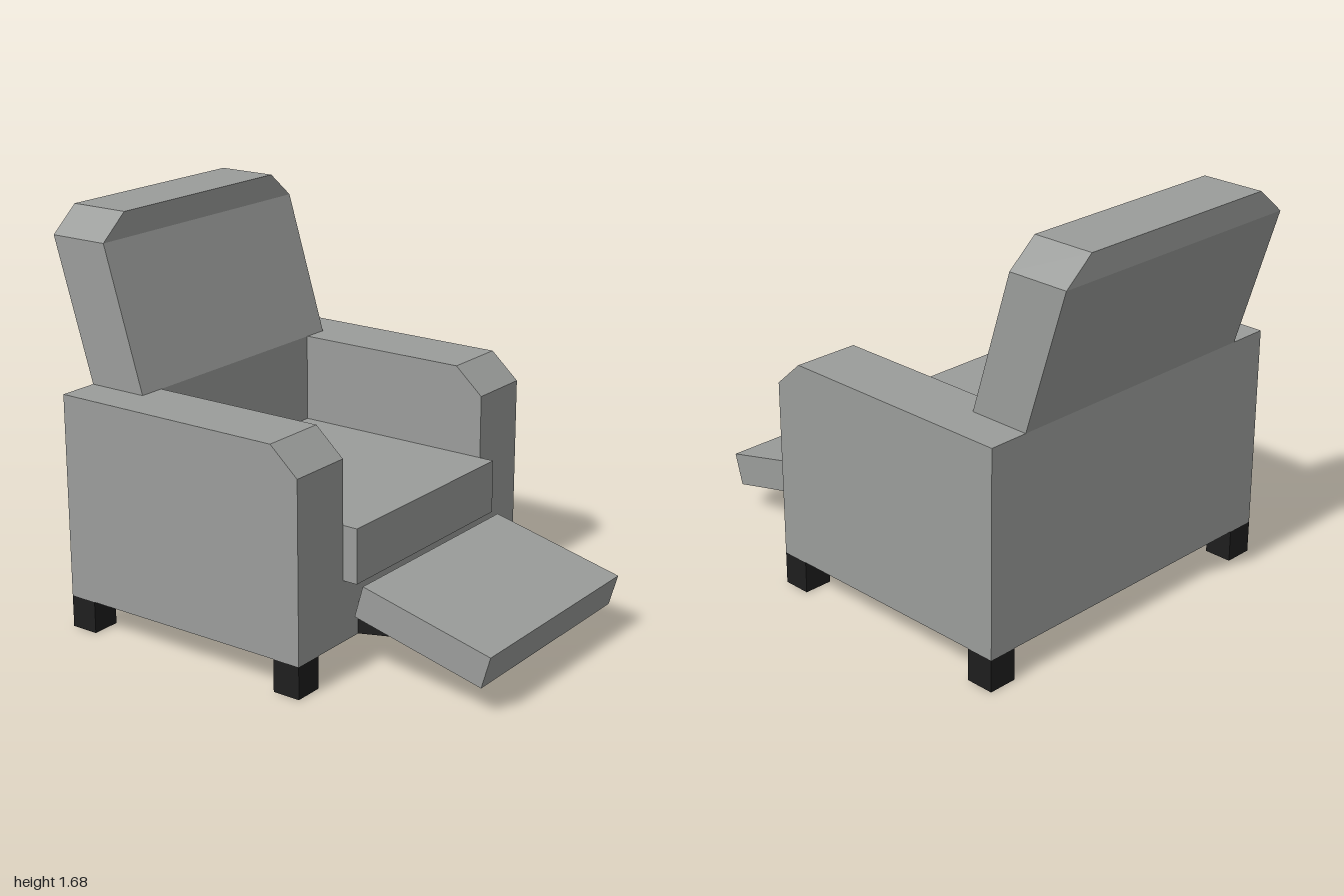
import * as THREE from 'three';

export function createModel() {
  const model = new THREE.Group();
  const upholstery = new THREE.MeshStandardMaterial({ color: 0x9b9d9b });
  upholstery.name = 'grey upholstery';
  const black = new THREE.MeshStandardMaterial({ color: 0x1e1e1e });
  black.name = 'black';

  function add(name, geometry, material) {
    const mesh = new THREE.Mesh(geometry, material);
    mesh.name = name;
    model.add(mesh);
  }

  // Box given by its extents on each axis
  function block(name, [x0, x1], [y0, y1], [z0, z1], material = upholstery) {
    const g = new THREE.BoxGeometry(x1 - x0, y1 - y0, z1 - z0);
    g.translate((x0 + x1) / 2, (y0 + y1) / 2, (z0 + z1) / 2);
    add(name, g, material);
  }

  function extrude(points, depth) {
    const shape = new THREE.Shape(points.map(([a, b]) => new THREE.Vector2(a, b)));
    return new THREE.ExtrudeGeometry(shape, { depth, bevelEnabled: false });
  }

  // Side profile of [z, y] points, extruded across x
  function sidePrism(name, points, x0, x1, material = upholstery) {
    const g = extrude(points, x1 - x0);
    g.rotateY(-Math.PI / 2);
    g.translate(x1, 0, 0);
    add(name, g, material);
  }

  // Body between the arms, and the seat cushion
  block('base', [-0.48, 0.48], [0.135, 0.39], [-0.82, 0.335]);
  block('lowerBack', [-0.48, 0.48], [0.39, 0.99], [-0.82, -0.56]);
  block('seatCushion', [-0.48, 0.48], [0.39, 0.615], [-0.56, 0.4]);

  // Leaning backrest and its chamfered top
  sidePrism('backrest', [[-0.82, 0.99], [-0.557, 0.99], [-0.735, 1.575], [-1, 1.575]], -0.59, 0.59);
  const top = extrude([[-0.59, 1.575], [0.59, 1.575], [0.465, 1.68], [-0.465, 1.68]], 0.265);
  top.translate(0, 0, -1);
  add('backrestTop', top, upholstery);

  // Raised footrest
  sidePrism('footrest', [[0.39, 0.255], [0.962, 0.118], [1, 0.25], [0.428, 0.388]], -0.48, 0.48);

  // Mirrored arms, footrest brackets and feet
  const arm = [[-0.82, 0.135], [0.335, 0.135], [0.335, 0.88], [0.212, 0.99], [-0.82, 0.99]];
  const bracket = [[0.335, 0.135], [0.66, 0.192], [0.6, 0.27], [0.335, 0.27]];
  for (const [side, s] of [['left', 1], ['right', -1]]) {
    const span = (a, b) => (s > 0 ? [a, b] : [-b, -a]);
    sidePrism(side + 'Arm', arm, ...span(0.48, 0.76));
    sidePrism(side + 'FootrestBracket', bracket, ...span(0.3, 0.38), black);
    block(side + 'FrontFoot', span(0.637, 0.76), [0, 0.135], [0.215, 0.335], black);
    block(side + 'BackFoot', span(0.637, 0.76), [0, 0.135], [-0.82, -0.7], black);
  }
  return model;
}
